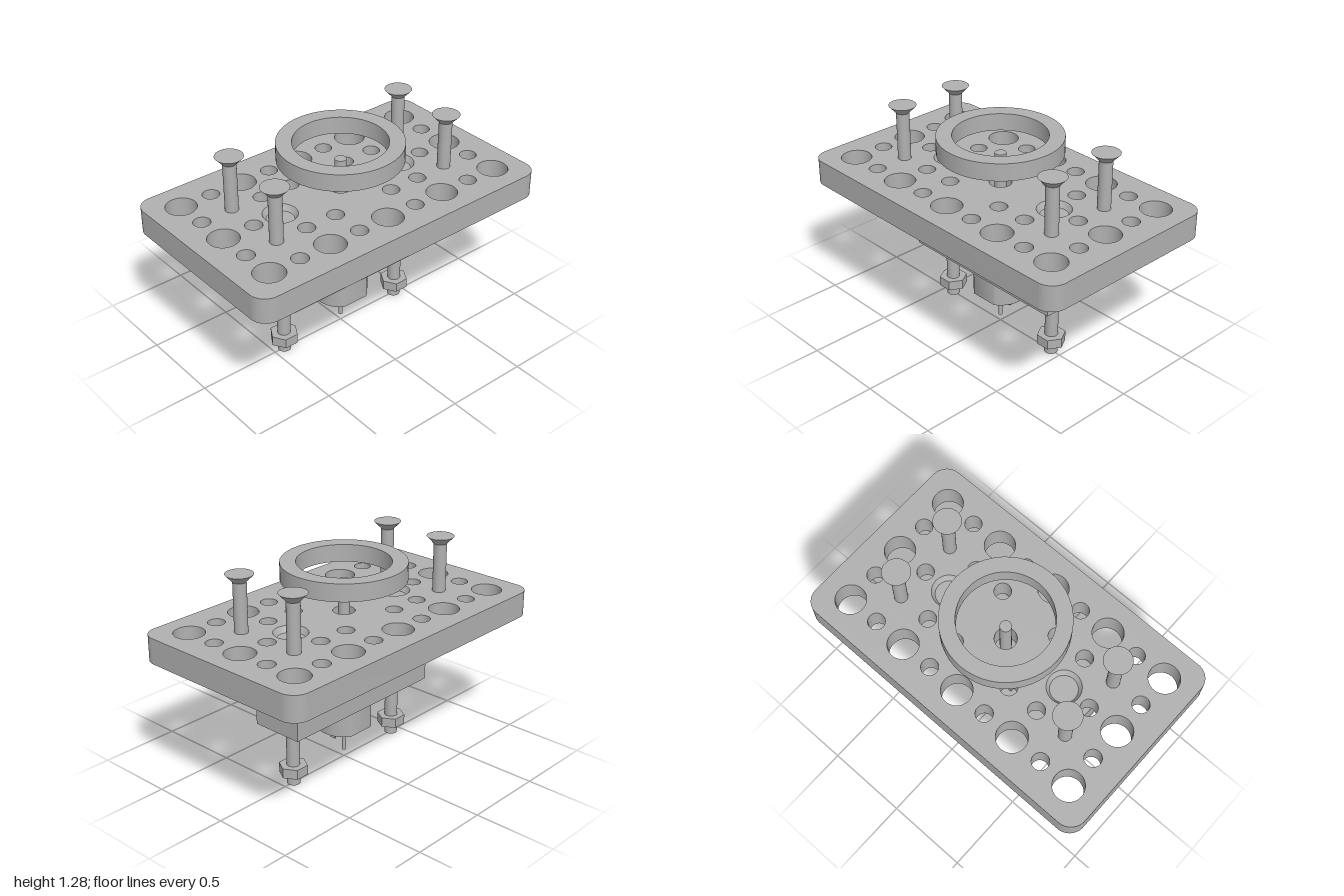
import * as THREE from 'three';
import { toCreasedNormals } from 'three/addons/utils/BufferGeometryUtils.js';

const steel = new THREE.MeshStandardMaterial({ color: 0xb0b0b0 });
steel.name = 'light grey';

function add(parent, name, geometry, x = 0, y = 0, z = 0) {
  const mesh = new THREE.Mesh(geometry, steel);
  mesh.name = name;
  mesh.position.set(x, y, z);
  parent.add(mesh);
  return mesh;
}

// Upright cylinder given by its bottom and top heights
function rod(parent, name, r, y0, y1, x = 0, z = 0, rTop = r, sides = 40) {
  return add(parent, name, new THREE.CylinderGeometry(rTop, r, y1 - y0, sides), x, (y0 + y1) / 2, z);
}

// Box given by half widths and heights
function block(parent, name, hx, hz, y0, y1) {
  return add(parent, name, new THREE.BoxGeometry(hx * 2, y1 - y0, hz * 2), 0, (y0 + y1) / 2, 0);
}

// Horizontal outline raised between two heights
function slab(parent, name, shape, y0, y1) {
  const g = new THREE.ExtrudeGeometry(shape, { depth: y1 - y0, bevelEnabled: false, curveSegments: 24 });
  g.rotateX(-Math.PI / 2);
  return add(parent, name, toCreasedNormals(g, 0.6), 0, y0, 0);
}

function hole(shape, x, z, r) {
  shape.holes.push(new THREE.Path().absarc(x, -z, r, 0, Math.PI * 2, true));
}

// Hexagon nut with its points along x
function nut(parent, x, y0, z) {
  const g = toCreasedNormals(new THREE.CylinderGeometry(0.085, 0.085, 0.06, 6), 0.3);
  g.rotateY(Math.PI / 2);
  add(parent, 'nut', g, x, y0 + 0.03, z);
}

function plateShape() {
  const w = 1, d = 0.593, r = 0.1;
  const s = new THREE.Shape();
  s.absarc(w - r, d - r, r, 0, Math.PI / 2);
  s.absarc(-w + r, d - r, r, Math.PI / 2, Math.PI);
  s.absarc(-w + r, -d + r, r, Math.PI, Math.PI * 1.5);
  s.absarc(w - r, -d + r, r, Math.PI * 1.5, Math.PI * 2);
  s.closePath();
  // Alternating large and small holes
  for (const z of [-0.405, 0.405]) {
    for (const x of [-0.81, -0.405, 0, 0.405, 0.81]) hole(s, x, z, 0.09);
    for (const x of [-0.61, -0.203, 0.203, 0.61]) hole(s, x, z, 0.05);
    for (const x of [-0.81, -0.405, -0.203, 0.203, 0.405, 0.81]) hole(s, x, z / 2, 0.05);
  }
  for (const sx of [-1, 1]) {
    hole(s, sx * 0.81, 0, 0.09);
    hole(s, sx * 0.61, 0, 0.05);
    hole(s, sx * 0.43, 0, 0.1);
  }
  hole(s, 0, 0, 0.065);
  return s;
}

// Circle with flats on front and back
function motorShape() {
  const r = 0.16, a = Math.asin(0.135 / r);
  const s = new THREE.Shape();
  s.absarc(0, 0, r, -a, a);
  s.absarc(0, 0, r, Math.PI - a, Math.PI + a);
  s.closePath();
  return s;
}

export function createModel() {
  const model = new THREE.Group();
  model.name = 'motorMount';

  slab(model, 'perforatedPlate', plateShape(), 0.79, 0.945);

  // Ring above the plate
  const ring = new THREE.Shape().absarc(0, 0, 0.363, 0, Math.PI * 2);
  hole(ring, 0, 0, 0.272);
  slab(model, 'wheelRing', ring, 1.14, 1.245);

  // Four tall countersunk screws
  for (const x of [-0.61, 0.61]) for (const z of [-0.203, 0.203]) {
    const screw = new THREE.Group();
    screw.name = 'plateScrew';
    model.add(screw);
    rod(screw, 'screwShank', 0.039, 0.608, 1.245, x, z);
    rod(screw, 'screwHead', 0.039, 1.24, 1.285, x, z, 0.081);
    nut(screw, x, 0.62, z);
  }

  // Two long screws through plate and bracket
  for (const x of [-0.43, 0.43]) {
    const screw = new THREE.Group();
    screw.name = 'bracketScrew';
    model.add(screw);
    const seat = [[0.035, 0.79], [0.1, 0.79], [0.1, 0.945], [0.08, 0.91], [0.035, 0.86]]
      .map(p => new THREE.Vector2(...p));
    add(screw, 'countersink', toCreasedNormals(new THREE.LatheGeometry(seat, 40), 0.5), x);
    rod(screw, 'screwShank', 0.039, 0, 0.87, x);
    rod(screw, 'screwHead', 0.039, 0.865, 0.91, x, 0, 0.08);
    nut(screw, x, 0.062, 0);
  }

  block(model, 'clampBracket', 0.555, 0.162, 0.372, 0.533);

  // Motor
  const motor = new THREE.Group();
  motor.name = 'motor';
  model.add(motor);
  slab(motor, 'motorBody', motorShape(), 0.21, 0.628);
  rod(motor, 'motorEndBoss', 0.068, 0.177, 0.215);
  rod(motor, 'rearShaft', 0.012, 0.045, 0.2);
  for (const x of [-0.094, 0.094])
    add(motor, 'terminal', new THREE.BoxGeometry(0.01, 0.06, 0.035), x, 0.19, 0);

  // Gearbox between motor and plate
  const gearbox = new THREE.Group();
  gearbox.name = 'gearbox';
  model.add(gearbox);
  block(gearbox, 'lowerGearPlate', 0.16, 0.135, 0.628, 0.66);
  block(gearbox, 'upperGearPlate', 0.16, 0.135, 0.735, 0.768);
  rod(gearbox, 'gear', 0.065, 0.66, 0.79);
  for (const x of [-0.1, 0.1]) for (const z of [-0.07, 0.07])
    rod(gearbox, 'gearPost', 0.032, 0.66, 0.79, x, z, 0.032, 24);
  rod(gearbox, 'outputShaft', 0.034, 0.77, 1.133);

  return model;
}
